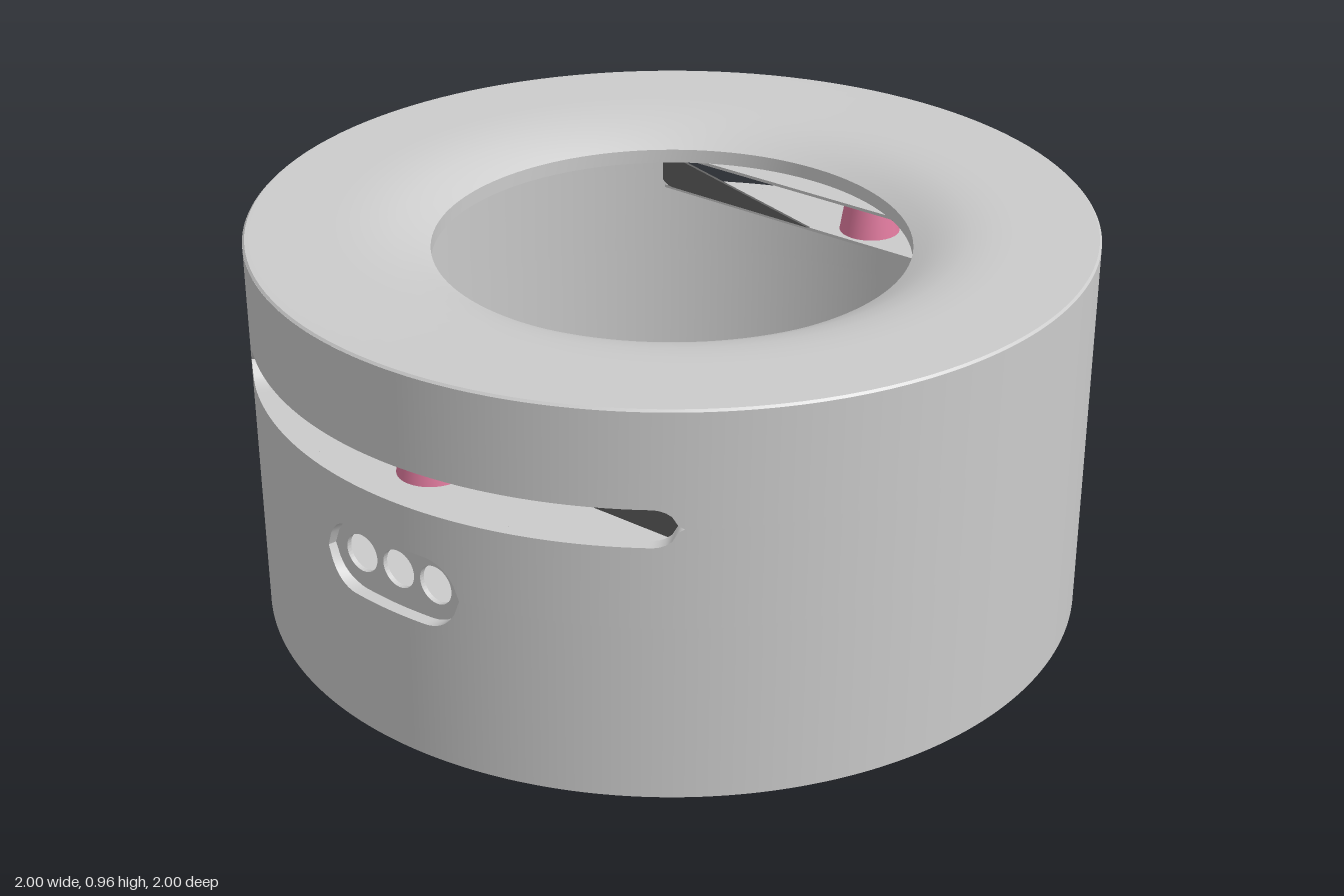
import * as THREE from 'three';
import { toCreasedNormals } from 'three/addons/utils/BufferGeometryUtils.js';

const grey = new THREE.MeshStandardMaterial({ color: 0xcccccc, side: THREE.DoubleSide });
const dark = new THREE.MeshStandardMaterial({ color: 0x606060, side: THREE.DoubleSide });
const pink = new THREE.MeshStandardMaterial({ color: 0xe07a9e });
const INNER = 0.97, BASE = 0.012, FLOOR = 0.035;

// Half height of a pill-shaped opening at distance d from its centre
function pill(d, half, r) {
  if (d >= half) return 0;
  const e = d - (half - r);
  return e <= 0 ? r : Math.sqrt(r * r - e * e);
}

// Closed band around the y axis between two height functions of the angle
function bandGeometry(low, high, steps = 480) {
  const pos = [], index = [];
  for (let i = 0; i <= steps; i++) {
    const a = (i / steps) * Math.PI * 2, s = Math.sin(a), c = Math.cos(a);
    for (const [r, y] of [[1, low(s)], [1, high(s)], [INNER, high(s)], [INNER, low(s)]].map(
      ([r, f]) => [r, f(c)])) pos.push(r * s, y, r * c);
    if (i === steps) break;
    for (let k = 0; k < 4; k++) {
      const p = i * 4 + k, p1 = i * 4 + (k + 1) % 4;
      index.push(p, p + 4, p1 + 4, p, p1 + 4, p1);
    }
  }
  const g = new THREE.BufferGeometry();
  g.setAttribute('position', new THREE.Float32BufferAttribute(pos, 3));
  g.setIndex(index);
  return toCreasedNormals(g, 0.6);
}

// Rectangle path with centre, half sizes and a direction for its first axis
function rectPath(cx, cz, hu, hv, ux = 1, uz = 0, Type = THREE.Path) {
  const corners = [[-1, -1], [1, -1], [1, 1], [-1, 1]].map(([a, b]) =>
    new THREE.Vector2(cx + a * hu * ux - b * hv * uz, cz + a * hu * uz + b * hv * ux));
  return new Type(corners);
}

function circlePath(x, y, r) {
  return new THREE.Path().absarc(x, y, r, 0, Math.PI * 2, true);
}

function pillShape(half, r) {
  const s = new THREE.Shape();
  s.absarc(half - r, 0, r, -Math.PI / 2, Math.PI / 2, false);
  s.absarc(-half + r, 0, r, Math.PI / 2, Math.PI * 1.5, false);
  return s;
}

// Slab lying flat, shape drawn in x and z, with its upper face at height top
function slab(shape, top, depth) {
  return new THREE.ExtrudeGeometry(shape, { depth, bevelEnabled: false, curveSegments: 48 })
    .rotateX(Math.PI / 2).translate(0, top, 0);
}

export function createModel() {
  const model = new THREE.Group();
  const add = (name, geometry, material = grey, parent = model) => {
    const m = new THREE.Mesh(geometry, material);
    m.name = name;
    parent.add(m);
    return m;
  };

  // Outer wall in three bands, leaving the port and the two long side slots open
  const port = (sign) => (s) => (c) => 0.445 + sign * (s < 0 ? pill(Math.abs(c), 0.19, 0.085) : 0);
  const slot = (sign) => (s) => (c) => 0.685 + sign * pill(Math.abs(c), 0.63, 0.045);
  const flat = (y) => () => () => y;
  add('lowerWall', bandGeometry(flat(BASE + 0.003), port(-1)));
  add('middleWall', bandGeometry(port(1), slot(-1)));
  add('upperWall', bandGeometry(slot(1), flat(0.955)));

  // Ring lid dipping into the round opening
  const lid = [[0.97, 0.925], [0.72, 0.915], [0.62, 0.88], [0.568, 0.865], [0.568, 0.90],
    [0.60, 0.918], [0.65, 0.94], [0.70, 0.952], [0.75, 0.958], [0.80, 0.96], [0.995, 0.96],
    [1, 0.955], [0.97, 0.925]].map(([x, y]) => new THREE.Vector2(x, y));
  add('lid', toCreasedNormals(new THREE.LatheGeometry(lid, 128), 0.5));

  // Base plate with its cutouts
  const plate = new THREE.Shape().absarc(0, 0, 0.99, 0, Math.PI * 2, false);
  plate.holes.push(rectPath(-0.035, 0, 0.315, 0.31));
  for (const s of [-1, 1])
    for (const x of [-0.02, -0.285]) plate.holes.push(circlePath(x, s * 0.54, 0.12));
  for (const k of [-1, 0, 1]) plate.holes.push(circlePath(-0.745 + k * 0.035, -0.522 - k * 0.05, 0.018));

  // Three drive stations: outward direction and side of the small slot
  const h = Math.sqrt(3) / 2;
  const stations = [[-1, 0, -1], [0.5, -h, 1], [0.5, h, -1]];
  for (const [dx, dz, side] of stations) {
    const tx = -dz, tz = dx;
    plate.holes.push(rectPath(dx * 0.84, dz * 0.84, 0.1, 0.19, dx, dz));
    const t = 0.3 * side;
    plate.holes.push(rectPath(dx * 0.48 + tx * t, dz * 0.48 + tz * t, 0.045, 0.115, dx, dz));
  }
  add('basePlate', slab(plate, FLOOR, FLOOR - BASE));

  // Raised frame around the square opening, and two access covers
  const frame = rectPath(-0.035, 0, 0.345, 0.34, 1, 0, THREE.Shape);
  frame.holes.push(rectPath(-0.035, 0, 0.315, 0.31));
  add('openingFrame', slab(frame, BASE + 0.002, 0.008));
  for (const [x, z] of [[0.77, 0], [-0.6, -0.05]])
    add('accessCover', new THREE.BoxGeometry(0.25, 0.006, 0.46).translate(x, BASE, z));

  // Screw heads under the rim
  for (let i = 0; i < 12; i++) {
    const a = (i + 0.5) * Math.PI / 6;
    add('baseScrew', new THREE.CylinderGeometry(0.014, 0.014, 0.014, 12)
      .translate(0.955 * Math.sin(a), 0.007, 0.955 * Math.cos(a)));
  }

  // Motor with coupling and shaft at each station, pointing inward
  for (const [dx, dz] of stations) {
    const motor = new THREE.Group();
    motor.name = 'motor';
    for (const [name, r, from, to] of [['shaft', 0.023, 0.45, 0.53], ['coupling', 0.032, 0.53, 0.6]])
      add(name, new THREE.CylinderGeometry(r, r, to - from, 20).rotateZ(Math.PI / 2)
        .translate((from + to) / 2, 0.13, 0), grey, motor);
    add('motorBracket', new THREE.BoxGeometry(0.1, 0.15, 0.16).translate(0.65, 0.11, 0), grey, motor);
    motor.rotation.y = Math.atan2(-dz, dx);
    model.add(motor);
  }

  // Slot pockets: flat dark backs with a gap in the middle, shelves and a pink peg
  const back = new THREE.Shape();
  back.moveTo(0.13, -0.045);
  back.absarc(0.585, 0, 0.045, -Math.PI / 2, Math.PI / 2, false);
  back.lineTo(0.13, 0.045);
  const half = Math.acos(0.75 / INNER);
  const shelf = new THREE.Shape().absarc(0, 0, INNER, -half, half, false);
  for (const turn of [0, Math.PI]) {
    const pocket = new THREE.Group();
    pocket.name = 'slotPocket';
    for (const flip of [0, Math.PI]) {
      const g = new THREE.ExtrudeGeometry(back, { depth: 0.008, bevelEnabled: false })
        .translate(0, 0, -0.004).rotateY(-Math.PI / 2).rotateX(flip);
      add('pocketBack', g.translate(0.75, 0.685, 0), dark, pocket);
    }
    for (const y of [0.64, 0.738]) add('pocketShelf', slab(shelf, y, 0.008), grey, pocket);
    add('peg', new THREE.CylinderGeometry(0.064, 0.08, 0.1, 32).translate(0.842, 0.685, 0), pink, pocket);
    pocket.rotation.y = turn;
    model.add(pocket);
  }

  // Connector panel set into the port, with three round sockets
  const panel = pillShape(0.2, 0.092);
  for (const z of [-0.11, 0, 0.11]) panel.holes.push(circlePath(z, 0, 0.046));
  add('connectorPanel', new THREE.ExtrudeGeometry(panel, { depth: 0.012, bevelEnabled: false, curveSegments: 20 })
    .rotateY(-Math.PI / 2).translate(-0.95, 0.445, 0));

  return model;
}
